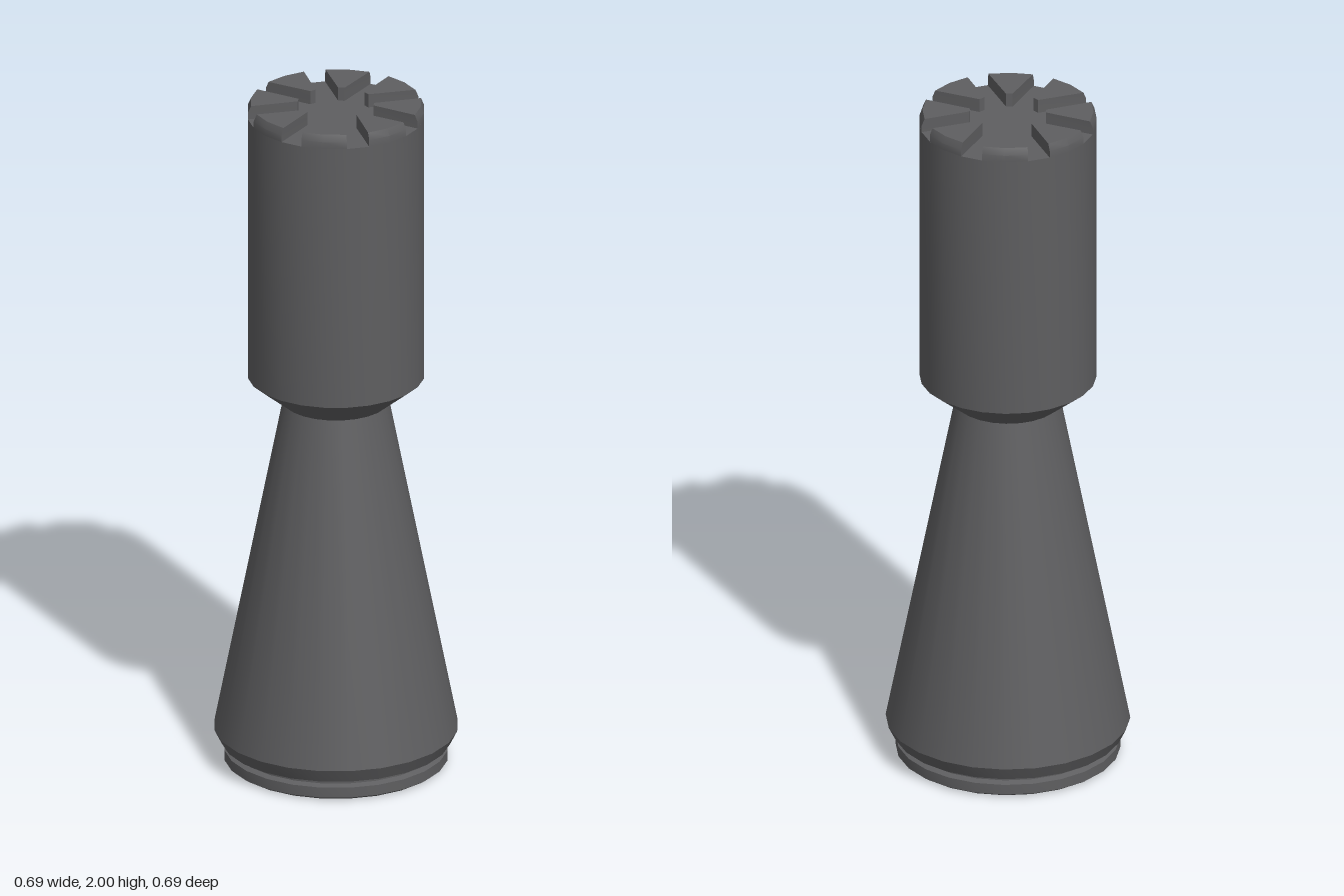
import * as THREE from 'three';
import { toCreasedNormals } from 'three/addons/utils/BufferGeometryUtils.js';

const SIDES = 24, TEETH = 8;
const OUTER = 0.25, INNER = 0.108, FLOOR = 1.96, TOP = 2.0, SLOT = 0.0325;

// Smooth turned body section with crisp profile edges
function turned(name, points, material) {
  const profile = points.map(([r, y]) => new THREE.Vector2(r, y));
  const mesh = new THREE.Mesh(toCreasedNormals(new THREE.LatheGeometry(profile, SIDES), 0.45), material);
  mesh.name = name;
  return mesh;
}

// Wedge tooth: parallel-sided slots leave a tooth that narrows towards the centre
function toothGeometry() {
  const a = Math.PI / TEETH - Math.asin(SLOT / OUTER);
  const b = Math.PI / TEETH - Math.asin(SLOT / INNER);
  const at = (r, t) => new THREE.Vector2(r * Math.cos(t), r * Math.sin(t));
  const shape = new THREE.Shape([at(INNER, -b), at(OUTER, -a), at(OUTER, 0), at(OUTER, a), at(INNER, b)]);
  const geometry = new THREE.ExtrudeGeometry(shape, { depth: TOP - FLOOR, steps: 2, bevelEnabled: false });
  geometry.rotateX(-Math.PI / 2);
  geometry.translate(0, FLOOR, 0);
  // Chamfer the outer top edge
  const p = geometry.attributes.position;
  for (let i = 0; i < p.count; i++) {
    if (p.getY(i) > TOP - 0.001 && Math.hypot(p.getX(i), p.getZ(i)) > 0.2) {
      p.setX(i, p.getX(i) * 0.965);
      p.setZ(i, p.getZ(i) * 0.965);
    }
  }
  return toCreasedNormals(geometry, 0.45);
}

export function createModel() {
  const group = new THREE.Group();
  group.name = 'towerPiece';
  const grey = new THREE.MeshStandardMaterial({ color: 0x5e5e60 });
  grey.name = 'darkGrey';

  // Foot disc with the narrow groove above it
  group.add(turned('foot', [
    [0, 0], [0.305, 0], [0.317, 0.008], [0.317, 0.038], [0.3, 0.044], [0.3, 0.056],
  ], grey));

  // Tapering body
  group.add(turned('taperedBody', [
    [0.3, 0.055], [0.325, 0.06], [0.345, 0.1], [0.15, 1.09],
  ], grey));

  // Flared collar and tall head, closed by the floor of the crown
  group.add(turned('head', [
    [0.15, 1.09], [OUTER, 1.17], [OUTER, FLOOR], [0, FLOOR],
  ], grey));

  // Ring of teeth
  const crown = new THREE.Group();
  crown.name = 'crown';
  const geometry = toothGeometry();
  for (let i = 0; i < TEETH; i++) {
    const tooth = new THREE.Mesh(geometry, grey);
    tooth.name = 'tooth';
    tooth.rotation.y = (i / TEETH) * Math.PI * 2;
    crown.add(tooth);
  }
  group.add(crown);
  return group;
}
